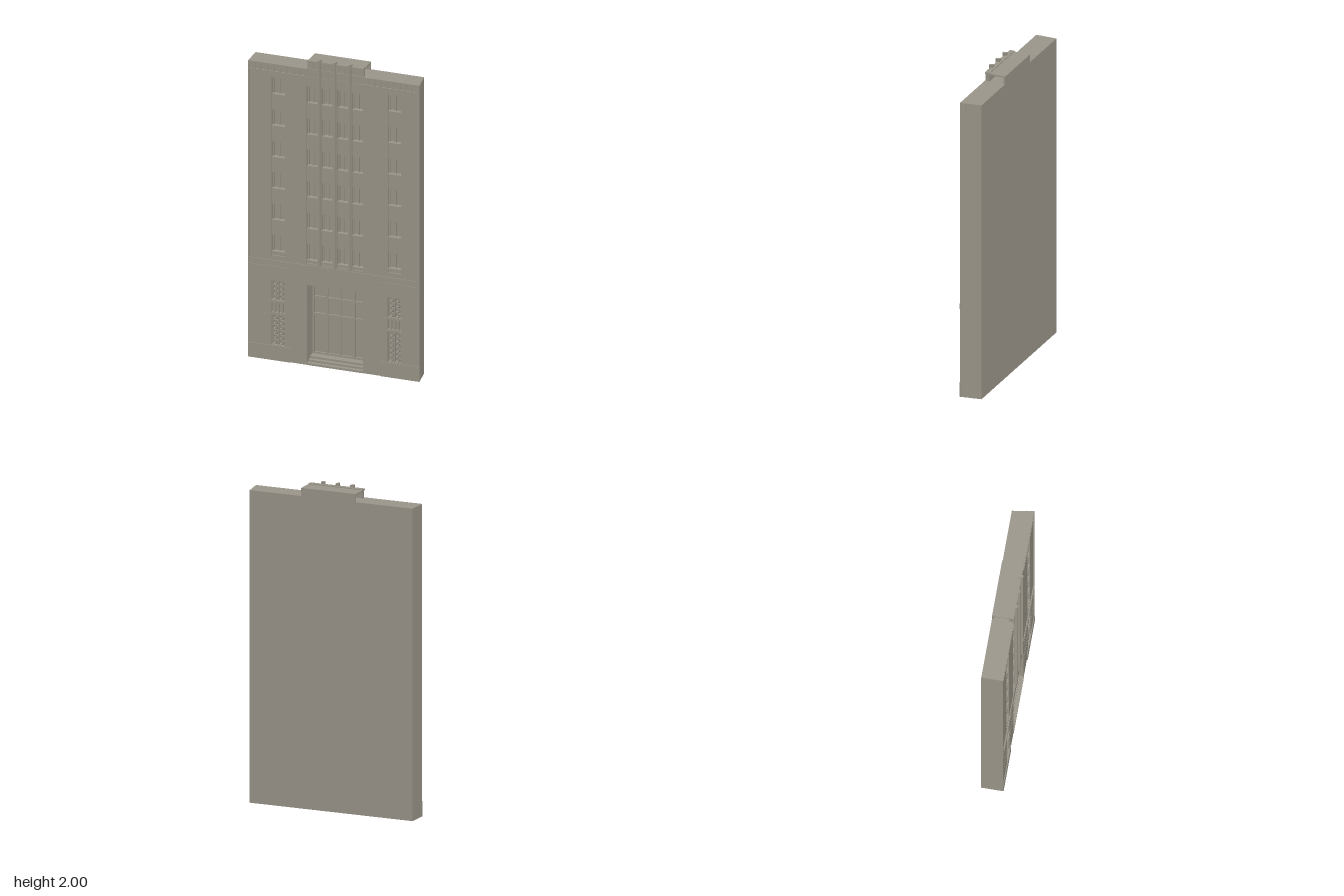
import * as THREE from 'three';

export function createModel() {
  const model = new THREE.Group();
  model.name = 'buildingFacade';
  const stone = new THREE.MeshStandardMaterial({ color: 0x9c978b, side: THREE.DoubleSide });
  stone.name = 'warm grey stone';

  const add = (name, geometry, parent = model) => {
    const mesh = new THREE.Mesh(geometry, stone);
    mesh.name = name;
    parent.add(mesh);
    return mesh;
  };
  // Box given by its limits on each axis
  const box = (name, x0, x1, y0, y1, z0, z1, parent = model) => {
    const mesh = add(name, new THREE.BoxGeometry(x1 - x0, y1 - y0, z1 - z0), parent);
    mesh.position.set((x0 + x1) / 2, (y0 + y1) / 2, (z0 + z1) / 2);
    return mesh;
  };
  const group = (name) => {
    const g = new THREE.Group();
    g.name = name;
    model.add(g);
    return g;
  };
  const polygon = (points) => new THREE.Shape(points.map(([x, y]) => new THREE.Vector2(x, y)));
  const rect = (x0, x1, y0, y1) => [[x0, y0], [x1, y0], [x1, y1], [x0, y1]];
  const extrude = (shape, depth) => new THREE.ExtrudeGeometry(shape, { depth, bevelEnabled: false });
  // Extrude a plan drawn as (x, -z) upwards
  const raise = (points, y0, y1) =>
    extrude(polygon(points), y1 - y0).rotateX(-Math.PI / 2).translate(0, y0, 0);

  const FRONT = 0.06, WALL = 0.055, BACK = -0.073, INNER = 0.015;
  const DOOR = [-0.172, 0.188], ROOF = 1.93;
  const sideBays = [[-0.4, -0.315], [0.345, 0.43]];
  const centreBays = [[-0.175, -0.105], [-0.08, -0.01], [0.02, 0.09], [0.115, 0.185]];

  // Hollow shell: two end walls and the back, with one end slanted
  add('outerShell', raise([
    [-0.55, -FRONT], [-0.55, -BACK], [0.53, -BACK], [0.55, -FRONT],
    [0.54, -FRONT], [0.52, -BACK - 0.013], [-0.54, -BACK - 0.013], [-0.54, -FRONT],
  ], 0, ROOF));
  add('roof', raise([[-0.545, -0.05], [0.545, -0.05], [0.53, -BACK], [-0.55, -BACK]], ROOF - 0.012, ROOF));

  // Upper wall with tall recessed window bays
  const upper = polygon(rect(-0.54, 0.541, 0.65, ROOF - 0.05));
  sideBays.forEach(([a, b]) => upper.holes.push(polygon(rect(a, b, 0.68, 1.85))));
  centreBays.forEach(([a, b]) => upper.holes.push(polygon(rect(a, b, 0.66, 1.83))));
  add('upperWall', extrude(upper, WALL - INNER).translate(0, 0, INNER));

  // Ground storey wall with the entrance and the ornamental openings
  const lower = polygon([
    [-0.54, 0], [DOOR[0], 0], [DOOR[0], 0.52], [DOOR[1], 0.52],
    [DOOR[1], 0], [0.541, 0], [0.541, 0.65], [-0.54, 0.65],
  ]);
  const screens = [[0.39, 0.52], [0.31, 0.375], [0.1, 0.295]];
  sideBays.forEach(([a, b]) => screens.forEach(([c, d]) => lower.holes.push(polygon(rect(a, b, c, d)))));
  add('lowerWall', extrude(lower, 0.043).translate(0, 0, INNER));

  // Windows: glass, frame, centre bar and the spandrel beneath
  const makeBay = ([a, b], firstY, bottom, top) => {
    const bay = group('windowBay');
    box('bayGlass', a, b, bottom, top, INNER, 0.022, bay);
    for (let i = 0; i < 6; i++) {
      const y0 = firstY + i * 0.205, y1 = y0 + 0.11, mid = (a + b) / 2;
      const below = i === 0 ? bottom : y0 - 0.095;
      box('spandrel', a, b, below, y0, 0.022, 0.047, bay);
      box('windowSill', a, b, y0, y0 + 0.006, 0.022, 0.052, bay);
      box('windowHead', a, b, y1 - 0.008, y1, 0.022, 0.034, bay);
      box('windowBar', mid - 0.003, mid + 0.003, y0, y1, 0.022, 0.033, bay);
      [a, b - 0.008].forEach((x) => box('windowJamb', x, x + 0.008, y0, y1, 0.022, 0.034, bay));
    }
    box('bayHead', a, b, firstY + 5 * 0.205 + 0.11, top, 0.022, 0.047, bay);
  };
  sideBays.forEach((bay) => makeBay(bay, 0.7, 0.68, 1.85));
  centreBays.forEach((bay) => makeBay(bay, 0.675, 0.66, 1.83));

  // Tapered vertical fins between the central bays
  [-0.0925, 0.005, 0.1025].forEach((x) => add('fin', raise([
    [x - 0.012, -0.045], [x - 0.007, -0.071], [x + 0.007, -0.071], [x + 0.012, -0.045],
  ], 0.655, 2)));

  // Leaf-like row of slanted triangles
  const frieze = (x0, x1, y0, y1, z) => {
    const count = Math.round((x1 - x0) / 0.042), step = (x1 - x0) / count;
    const row = group('frieze');
    for (let i = 0; i < count; i++) {
      const x = x0 + i * step;
      const leaf = polygon([[x, y1], [x + step * 0.55, y0], [x + step, y0], [x + step * 0.9, y1]]);
      add('friezeLeaf', extrude(leaf, 0.01).translate(0, 0, z), row);
    }
  };

  // Cornice on each wing
  [[-0.545, DOOR[0]], [DOOR[1], 0.545]].forEach(([a, b]) => {
    box('corniceBacking', a, b, 1.88, ROOF, INNER, 0.05);
    box('corniceCap', a, b, 1.922, ROOF, 0.045, FRONT);
    box('corniceLedge', a, b, 1.876, 1.882, 0.05, FRONT);
    frieze(a, b, 1.882, 1.922, 0.048);
  });

  // Raised central parapet, open at both ends
  const [px0, px1] = [-0.17, 0.19];
  box('parapetFront', px0, px1, 1.88, 1.985, 0.03, 0.052);
  box('parapetCap', px0, px1, 1.975, 1.985, 0.045, FRONT);
  box('parapetLedge', px0, px1, 1.926, 1.932, 0.05, 0.058);
  box('parapetRoof', px0, px1, 1.972, 1.98, BACK, 0.03);
  box('parapetBack', px0, px1, ROOF, 1.98, BACK, BACK + 0.01);
  frieze(px0, px1, 1.934, 1.975, 0.047);

  // Sill course, wing bands, plinths and fine masonry joints
  box('sillCourse', -0.55, 0.55, 0.638, 0.65, 0.05, FRONT);
  [[-0.55, -0.28], [0.3, 0.55]].forEach(([a, b]) => {
    box('wingBand', a, b, 0.575, 0.612, 0.05, 0.0615);
    box('plinth', a, b, 0, 0.095, 0.05, 0.063);
  });
  [0.3, 0.385, 0.55].forEach((y) => {
    [[-0.54, -0.405], [-0.31, DOOR[0]], [DOOR[1], 0.34], [0.435, 0.54]].forEach(([a, b]) =>
      box('masonryJoint', a, b, y, y + 0.002, 0.055, 0.059));
  });

  // Ornamental screens: scrolls in the large openings, bars in the small ones
  sideBays.forEach(([a, b]) => {
    const ornament = group('ornamentalScreen');
    const mid = (a + b) / 2;
    box('screenBacking', a, b, 0.1, 0.52, INNER, 0.038, ornament);
    [screens[0], screens[2]].forEach(([c, d]) => {
      box('screenStem', mid - 0.003, mid + 0.003, c, d, 0.036, 0.054, ornament);
      const rows = Math.round((d - c) / 0.034), step = (d - c) / rows;
      for (let i = 0; i < rows; i++) {
        [-0.02, 0.02].forEach((dx) => {
          const scroll = add('screenScroll', new THREE.TorusGeometry(0.013, 0.004, 5, 12), ornament);
          scroll.position.set(mid + dx, c + (i + 0.5) * step, 0.045);
        });
      }
    });
    [-0.024, 0, 0.024].forEach((dx) =>
      box('screenBar', mid + dx - 0.006, mid + dx + 0.006, 0.31, 0.375, 0.036, 0.055, ornament));
  });

  // Deep entrance recess with steps
  const entrance = group('entrance');
  const [d0, d1] = DOOR, REAR = -0.06;
  box('entranceCheek', d0 - 0.008, d0, 0, 0.52, REAR, 0.055, entrance);
  box('entranceCheek', d1, d1 + 0.008, 0, 0.52, REAR, 0.055, entrance);
  box('entranceCeiling', d0, d1, 0.52, 0.528, REAR, 0.055, entrance);
  box('entranceGlass', d0, d1, 0, 0.52, REAR, -0.048, entrance);
  [FRONT, 0.035, 0.01].forEach((z, i) =>
    box('entranceStep', d0, d1, i * 0.013, (i + 1) * 0.013, REAR, z, entrance));

  // Entrance glazing bars
  for (let i = 0; i <= 4; i++) {
    const x = d0 + 0.005 + (i * (d1 - d0 - 0.01)) / 4;
    box('doorMullion', x - 0.005, x + 0.005, 0.039, 0.52, -0.048, -0.036, entrance);
  }
  [0.045, 0.3, 0.41, 0.514].forEach((y) =>
    box('doorTransom', d0, d1, y - 0.006, y + 0.006, -0.048, -0.037, entrance));

  return model;
}
